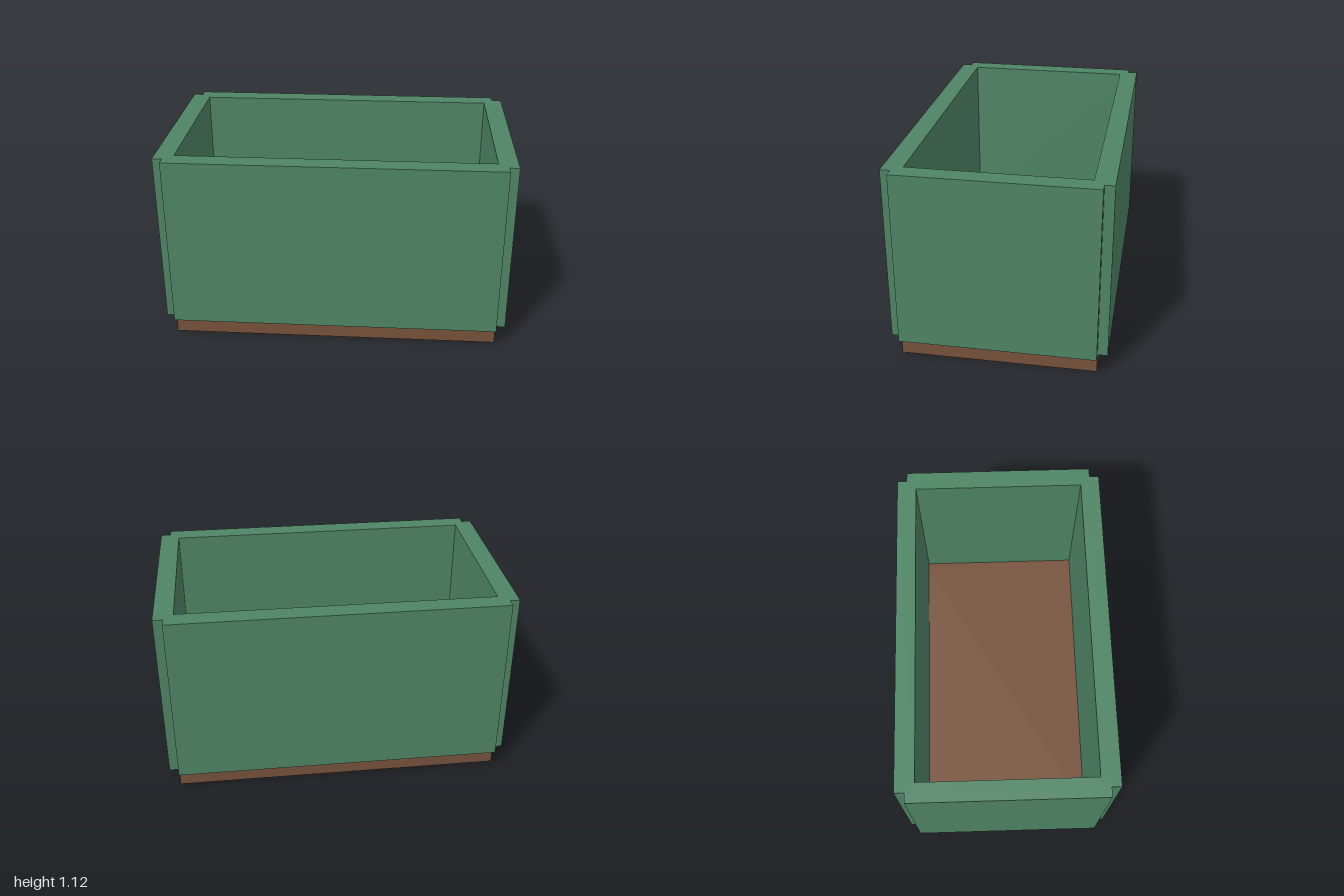
import * as THREE from 'three';

const WALL = 0.111;      // wall thickness
const BASE_H = 0.111;    // base slab height
const HEIGHT = 1.12;     // overall height
const HALF_X = 0.9445;   // wall centre lines follow the edges of the base
const HALF_Z = 0.55;

export function createModel() {
  const group = new THREE.Group();
  const green = new THREE.MeshStandardMaterial({ color: 0x4f8565 });
  green.name = 'green';
  const brown = new THREE.MeshStandardMaterial({ color: 0x76523b });
  brown.name = 'brown';

  const addBox = (name, material, size, x, y, z) => {
    const mesh = new THREE.Mesh(new THREE.BoxGeometry(...size), material);
    mesh.name = name;
    mesh.position.set(x, y, z);
    group.add(mesh);
  };

  // Base slab, also the floor inside
  addBox('base', brown, [2 * HALF_X, BASE_H, 2 * HALF_Z], 0, BASE_H / 2, 0);

  // Four walls straddling the base edges, leaving a small notch at each corner
  const wallH = HEIGHT - BASE_H;
  const wallY = BASE_H + wallH / 2;
  for (const side of [1, -1]) {
    addBox(side > 0 ? 'frontWall' : 'backWall', green,
      [2 * HALF_X, wallH, WALL], 0, wallY, side * HALF_Z);
    addBox(side > 0 ? 'leftWall' : 'rightWall', green,
      [WALL, wallH, 2 * HALF_Z], side * HALF_X, wallY, 0);
  }

  return group;
}
